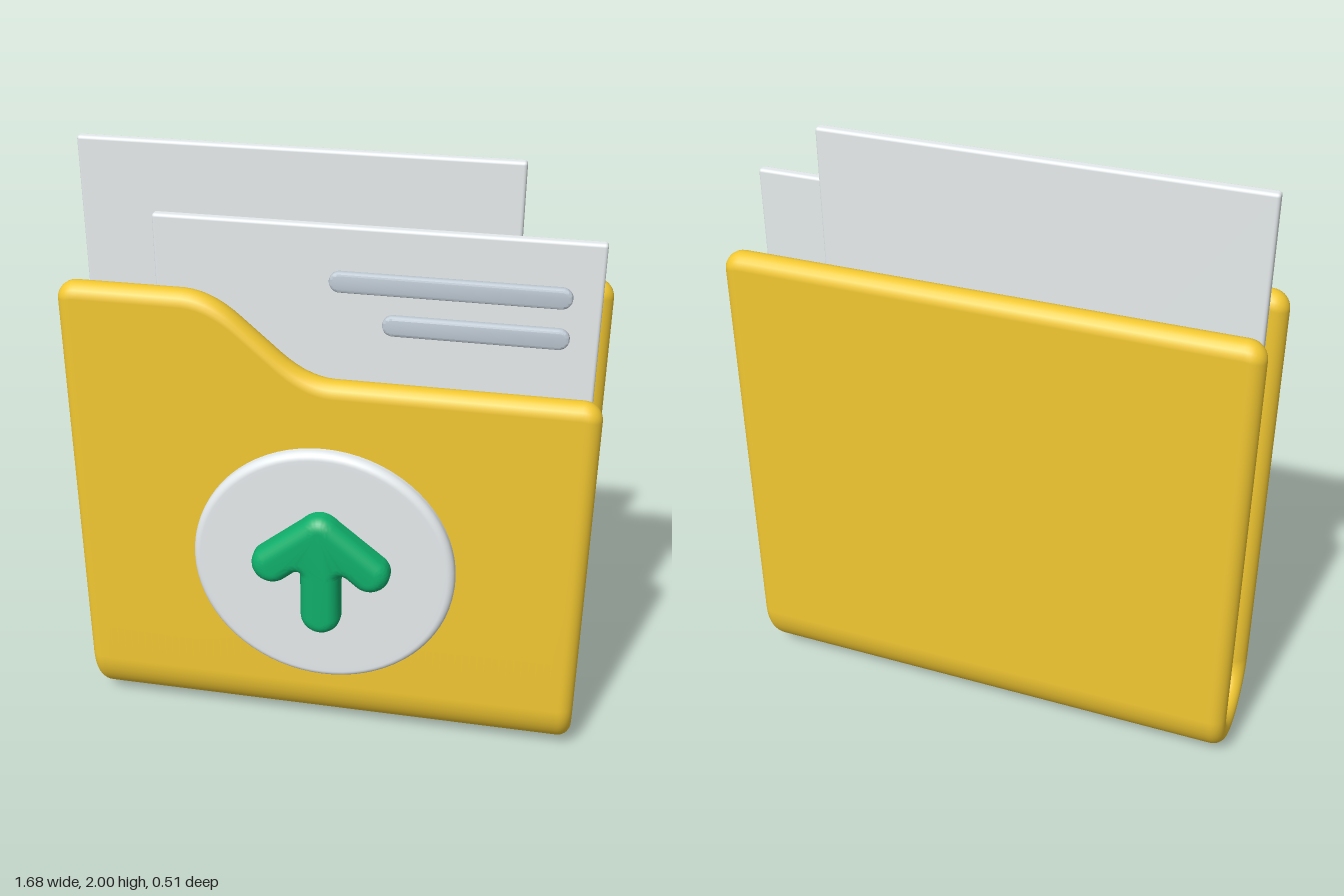
import * as THREE from 'three';
import { toCreasedNormals } from 'three/addons/utils/BufferGeometryUtils.js';
import { RoundedBoxGeometry } from 'three/addons/geometries/RoundedBoxGeometry.js';

const material = (color) => new THREE.MeshStandardMaterial({ color });

function addMesh(group, name, geometry, mat, x = 0, y = 0, z = 0) {
  const mesh = new THREE.Mesh(geometry, mat);
  mesh.name = name;
  mesh.position.set(x, y, z);
  group.add(mesh);
  return mesh;
}

// Extrusion with rounded rims that stays inside the outline, from z = 0 to z = depth
function softExtrude(shape, depth, bevel, segments) {
  const geometry = new THREE.ExtrudeGeometry(shape, {
    depth: depth - 2 * bevel, bevelThickness: bevel, bevelSize: bevel,
    bevelOffset: -bevel, bevelSegments: segments, curveSegments: 16,
  });
  geometry.translate(0, 0, bevel);
  return toCreasedNormals(geometry, 0.7);
}

// Front panel's top edge: a tall tab that ramps smoothly down to the right
function frontTop(x) {
  let sum = 0;
  const n = 12, blur = 0.08;
  for (let i = 0; i <= n; i++) {
    const s = x + blur * (2 * i / n - 1);
    sum += THREE.MathUtils.clamp((s + 0.36) / 0.3, 0, 1);
  }
  return 1.608 - 0.265 * sum / (n + 1);
}

// Folder: one thick sheet bent into a U, swept along x with rounded rims
function folderGeometry() {
  const half = 0.84, thick = 0.046, corner = 0.06;
  const bendZ = -0.0525, bendY = 0.2035, bendR = 0.1575;

  const xs = [];
  for (let k = 0; k <= 10; k++) xs.push(-half + corner * (1 - Math.cos(k / 10 * Math.PI / 2)));
  const inner = xs.map((x) => -x).reverse();
  for (let k = 1; k < 64; k++) xs.push((half - corner) * (2 * k / 64 - 1));
  xs.push(...inner);

  const positions = [], indices = [];
  let count = 0;
  for (const x of xs) {
    const d = half - Math.abs(x);
    const t = d < thick ? Math.sqrt(Math.max(0, thick ** 2 - (thick - d) ** 2)) : thick;
    const drop = d < corner ? corner - Math.sqrt(Math.max(0, corner ** 2 - (corner - d) ** 2)) : 0;
    const loop = [];
    const cap = (z, top) => {
      for (let i = 0; i <= 10; i++) {
        const a = i / 10 * Math.PI;
        loop.push([z + t * Math.cos(a), top - drop - t + t * Math.sin(a)]);
      }
    };
    const bend = (r, from, to) => {
      for (let i = 0; i <= 24; i++) {
        const a = from + (to - from) * i / 24;
        loop.push([bendZ + r * Math.cos(a), bendY + r * Math.sin(a)]);
      }
    };
    // Outer bend runs front to back, then the back rim, inner bend and front rim
    bend(bendR + t, 0, -Math.PI);
    const start = loop.length;
    cap(bendZ - bendR, 1.608);
    loop.push(...loop.splice(start).reverse());
    bend(bendR - t, -Math.PI, 0);
    const rim = loop.length;
    cap(bendZ + bendR, frontTop(x));
    loop.push(...loop.splice(rim).reverse());
    count = loop.length;
    for (const [z, y] of loop) positions.push(x, y, z);
  }
  for (let i = 0; i < xs.length - 1; i++) {
    for (let j = 0; j < count; j++) {
      const a = i * count + j, c = i * count + (j + 1) % count;
      indices.push(a, c, a + count, c, c + count, a + count);
    }
  }
  const geometry = new THREE.BufferGeometry();
  geometry.setAttribute('position', new THREE.Float32BufferAttribute(positions, 3));
  geometry.setIndex(indices);
  geometry.computeVertexNormals();
  return geometry;
}

// Horizontal bar with round ends
function pillShape(length, r) {
  const shape = new THREE.Shape();
  const e = length / 2 - r;
  shape.absarc(e, 0, r, -Math.PI / 2, Math.PI / 2);
  shape.absarc(-e, 0, r, Math.PI / 2, Math.PI * 1.5);
  return shape;
}

// Upward arrow with round ends and a softened tip
function arrowShape() {
  const r = 0.066, ex = 0.16, ey = 0.722, deg = Math.PI / 180;
  const shape = new THREE.Shape();
  shape.moveTo(-0.06, 0.888);
  shape.quadraticCurveTo(0, 0.95, 0.06, 0.888);
  shape.absarc(ex, ey, r, 50 * deg, -130 * deg, true);
  shape.lineTo(0.085, 0.699);
  shape.quadraticCurveTo(r, 0.712, r, 0.69);
  shape.absarc(0, 0.475 + r, r, 0, -Math.PI, true);
  shape.lineTo(-r, 0.69);
  shape.quadraticCurveTo(-r, 0.712, -0.085, 0.699);
  shape.absarc(-ex, ey, r, -50 * deg, -230 * deg, true);
  shape.closePath();
  return shape;
}

export function createModel() {
  const model = new THREE.Group();
  model.name = 'folder';
  const yellow = material(0xf2c832);
  const white = material(0xe6ebed);
  const blueGrey = material(0xbfcad4);
  const green = material(0x10b06c);

  addMesh(model, 'folderCover', folderGeometry(), yellow);

  // Paper sheets
  const sheet = (name, x0, x1, top, z) => addMesh(model, name,
    new RoundedBoxGeometry(x1 - x0, top - 0.11, 0.035, 3, 0.01), white,
    (x0 + x1) / 2, (top + 0.11) / 2, z);
  sheet('backSheet', -0.81, 0.555, 2, -0.098);
  sheet('frontSheet', -0.56, 0.807, 1.8, -0.012);

  // Text bars on the front sheet
  for (const [name, x0, y] of [['upperBar', -0.01, 1.628], ['lowerBar', 0.155, 1.497]]) {
    addMesh(model, name, softExtrude(pillShape(0.72 - x0, 0.033), 0.03, 0.01, 3),
      blueGrey, (x0 + 0.72) / 2, y, -0.004);
  }

  // Round badge with a soft rim
  const profile = [new THREE.Vector2(0.43, 0)];
  for (let i = 0; i <= 8; i++) {
    const a = i / 8 * Math.PI / 2;
    profile.push(new THREE.Vector2(0.405 + 0.025 * Math.cos(a), 0.035 + 0.025 * Math.sin(a)));
  }
  profile.push(new THREE.Vector2(0.39, 0.06), new THREE.Vector2(0, 0.06));
  const badge = addMesh(model, 'badge', new THREE.LatheGeometry(profile, 72), white, 0, 0.695, 0.13);
  badge.rotation.x = Math.PI / 2;

  // Puffy arrow on the badge
  addMesh(model, 'arrow', softExtrude(arrowShape(), 0.115, 0.045, 8), green, 0, 0, 0.14);

  return model;
}
